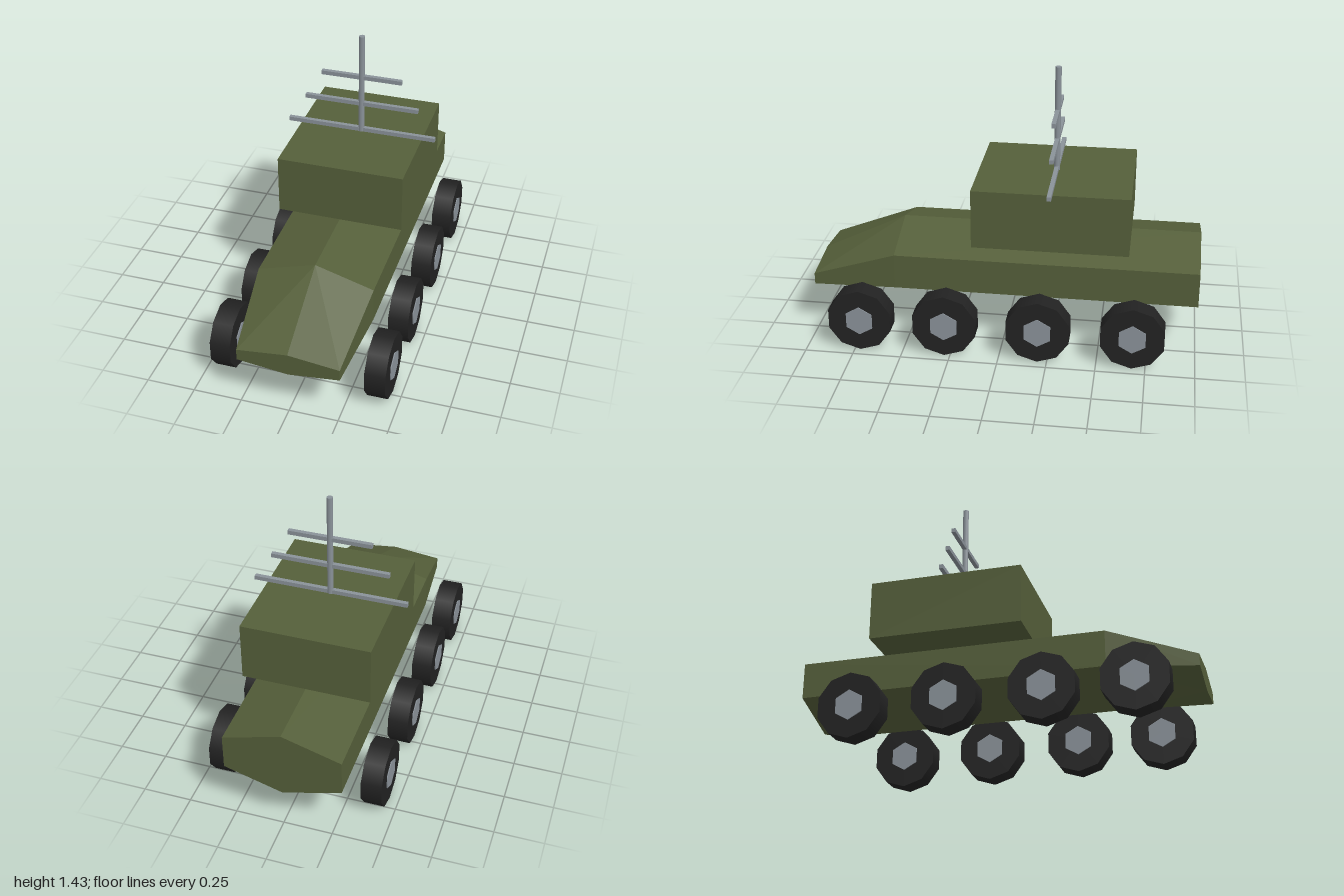
import * as THREE from 'three';

const green = new THREE.MeshStandardMaterial({ name: 'olive green', color: 0x555f3a });
const black = new THREE.MeshStandardMaterial({ name: 'tyre black', color: 0x222222 });
const grey = new THREE.MeshStandardMaterial({ name: 'metal grey', color: 0x8a9299 });

function add(parent, name, geometry, material, x = 0, y = 0, z = 0) {
  const mesh = new THREE.Mesh(geometry, material);
  mesh.name = name;
  mesh.position.set(x, y, z);
  parent.add(mesh);
  return mesh;
}

// Hexagonal hull section with a ridge on top and a keel below
function section(z, half, ridge, shoulder, chine, keel) {
  return [[0, ridge, z], [-half, shoulder, z], [-half, chine, z],
    [0, keel, z], [half, chine, z], [half, shoulder, z]];
}

// Joins the sections from back to front with flat faces and closes the ends
function hullGeometry(rings) {
  const points = [];
  const tri = (...corners) => corners.forEach((p) => points.push(...p));
  for (let i = 0; i < rings.length - 1; i++) {
    for (let j = 0; j < 6; j++) {
      const k = (j + 1) % 6;
      const a = rings[i][j], b = rings[i][k], c = rings[i + 1][k], d = rings[i + 1][j];
      if (j < 3) { tri(a, b, c); tri(a, c, d); }
      else { tri(a, b, d); tri(b, c, d); }
    }
  }
  const back = rings[0], front = rings[rings.length - 1];
  for (let j = 1; j < 5; j++) {
    tri(back[0], back[j + 1], back[j]);
    tri(front[0], front[j], front[j + 1]);
  }
  const geometry = new THREE.BufferGeometry();
  geometry.setAttribute('position', new THREE.Float32BufferAttribute(points, 3));
  geometry.computeVertexNormals();
  return geometry;
}

// Cylinder along x with a corner pointing up
function axleCylinder(radius, width, sides) {
  return new THREE.CylinderGeometry(radius, radius, width, sides)
    .rotateZ(Math.PI / 2).rotateX(Math.PI / 2);
}

export function createModel() {
  const model = new THREE.Group();
  model.name = 'armouredVehicle';

  // Hull with a tapering nose
  add(model, 'hull', hullGeometry([
    section(-1, 0.3, 0.57, 0.48, 0.295, 0.205),
    section(0.56, 0.3, 0.57, 0.48, 0.295, 0.205),
    section(1, 0.26, 0.355, 0.325, 0.265, 0.235),
  ]), green);

  // Box cabin on the ridge
  add(model, 'cabin', new THREE.BoxGeometry(0.66, 0.31, 0.795), green, 0, 0.725, -0.245);

  // Antenna mast with three crossbars
  const antenna = new THREE.Group();
  antenna.name = 'antenna';
  antenna.position.z = -0.245;
  model.add(antenna);
  add(antenna, 'mast', new THREE.CylinderGeometry(0.016, 0.016, 0.555, 8), grey, 0, 1.157, 0);
  for (const [y, length] of [[0.891, 0.8], [1.046, 0.61], [1.2, 0.43]]) {
    add(antenna, 'crossbar', new THREE.BoxGeometry(length, 0.022, 0.022), grey, 0, y, 0);
  }

  // Four wheels on each side
  const tyre = axleCylinder(0.169, 0.106, 10);
  const hub = axleCylinder(0.078, 0.116, 6);
  for (const side of [-1, 1]) {
    for (const z of [0.72, 0.28, -0.2, -0.68]) {
      const wheel = new THREE.Group();
      wheel.name = side > 0 ? 'leftWheel' : 'rightWheel';
      wheel.position.set(side * 0.398, 0.17, z);
      add(wheel, 'tyre', tyre, black);
      add(wheel, 'hub', hub, grey);
      model.add(wheel);
    }
  }
  return model;
}
